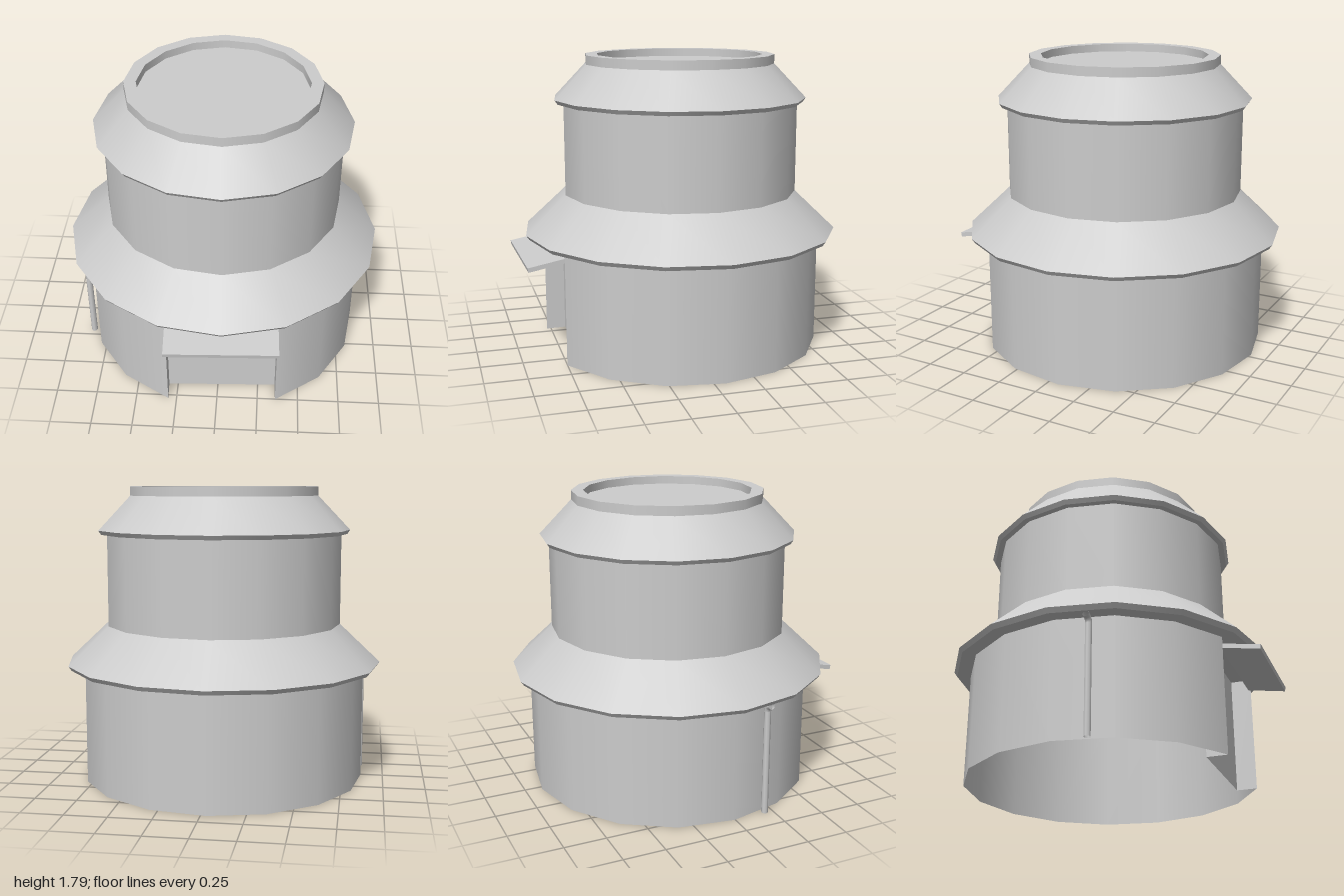
import * as THREE from 'three';

const SIDES = 16;
const TILT = THREE.MathUtils.degToRad(2.1);

export function createModel() {
  const model = new THREE.Group();
  model.name = 'roundTower';
  const grey = new THREE.MeshStandardMaterial({ color: 0xcccccc, side: THREE.DoubleSide });
  grey.name = 'plain grey';

  // the whole tower is turned slightly about its axis
  const tower = new THREE.Group();
  tower.name = 'tower';
  tower.rotation.y = TILT;
  tower.position.z = -0.035;
  model.add(tower);

  const add = (name, geometry, x = 0, y = 0, z = 0, parent = tower) => {
    const mesh = new THREE.Mesh(geometry, grey);
    mesh.name = name;
    mesh.position.set(x, y, z);
    parent.add(mesh);
    return mesh;
  };

  // one smooth band of revolution between two [radius, height] points
  const band = (name, from, to, parent = tower, skip = 0) => {
    const step = (Math.PI * 2) / SIDES;
    const points = [from, to].map(([r, y]) => new THREE.Vector2(r, y));
    add(name, new THREE.LatheGeometry(points, SIDES - skip, step * skip / 2, step * (SIDES - skip)), 0, 0, 0, parent);
  };

  // profile with sharp edges between its bands
  const turned = (name, profile) => {
    const group = new THREE.Group();
    group.name = name;
    tower.add(group);
    for (let i = 1; i < profile.length; i++) band(`${name}Band${i}`, profile[i - 1], profile[i], group);
  };

  // ground floor wall, open over two front facets
  const R = 0.865;
  band('lowerWall', [R, 0], [R, 0.695], tower, 2);

  // skirt roof, with its flat underside as the room ceiling
  turned('lowerRoof', [[0, 0.695], [0.948, 0.695], [0.967, 0.722], [0.72, 0.955]]);
  band('upperWall', [0.72, 0.955], [0.72, 1.505]);
  turned('upperRoof', [[0.72, 1.505], [0.755, 1.505], [0.772, 1.53], [0.577, 1.735]]);

  // raised rim and sunken deck on top
  turned('topRim', [[0.577, 1.735], [0.577, 1.79], [0.505, 1.79], [0.505, 1.742], [0, 1.742]]);

  // recessed doorway
  const half = R * Math.sin(Math.PI / 8);
  const chord = R * Math.cos(Math.PI / 8);
  const inset = 0.12;
  const height = 0.695;
  add('doorPanel', new THREE.PlaneGeometry(half * 2, height), 0, height / 2, chord - inset);
  for (const side of [-1, 1]) {
    const jamb = add(side > 0 ? 'leftJamb' : 'rightJamb', new THREE.PlaneGeometry(inset, height),
      side * half, height / 2, chord - inset / 2);
    jamb.rotation.y = -side * Math.PI / 2;
  }

  // sloping canopy over the doorway
  const canopy = add('canopy', new THREE.BoxGeometry(half * 2, 0.027, 0.23), 0, 0.622, 0.9);
  canopy.rotation.x = 0.175;

  // downpipe bending out to the eave
  const path = new THREE.CurvePath();
  const v = (x, y) => new THREE.Vector3(x, y, 0.204);
  path.add(new THREE.LineCurve3(v(-0.86, 0), v(-0.86, 0.645)));
  path.add(new THREE.QuadraticBezierCurve3(v(-0.86, 0.645), v(-0.86, 0.672), v(-0.9, 0.682)));
  add('downpipe', new THREE.TubeGeometry(path, 32, 0.02, 8));

  return model;
}
